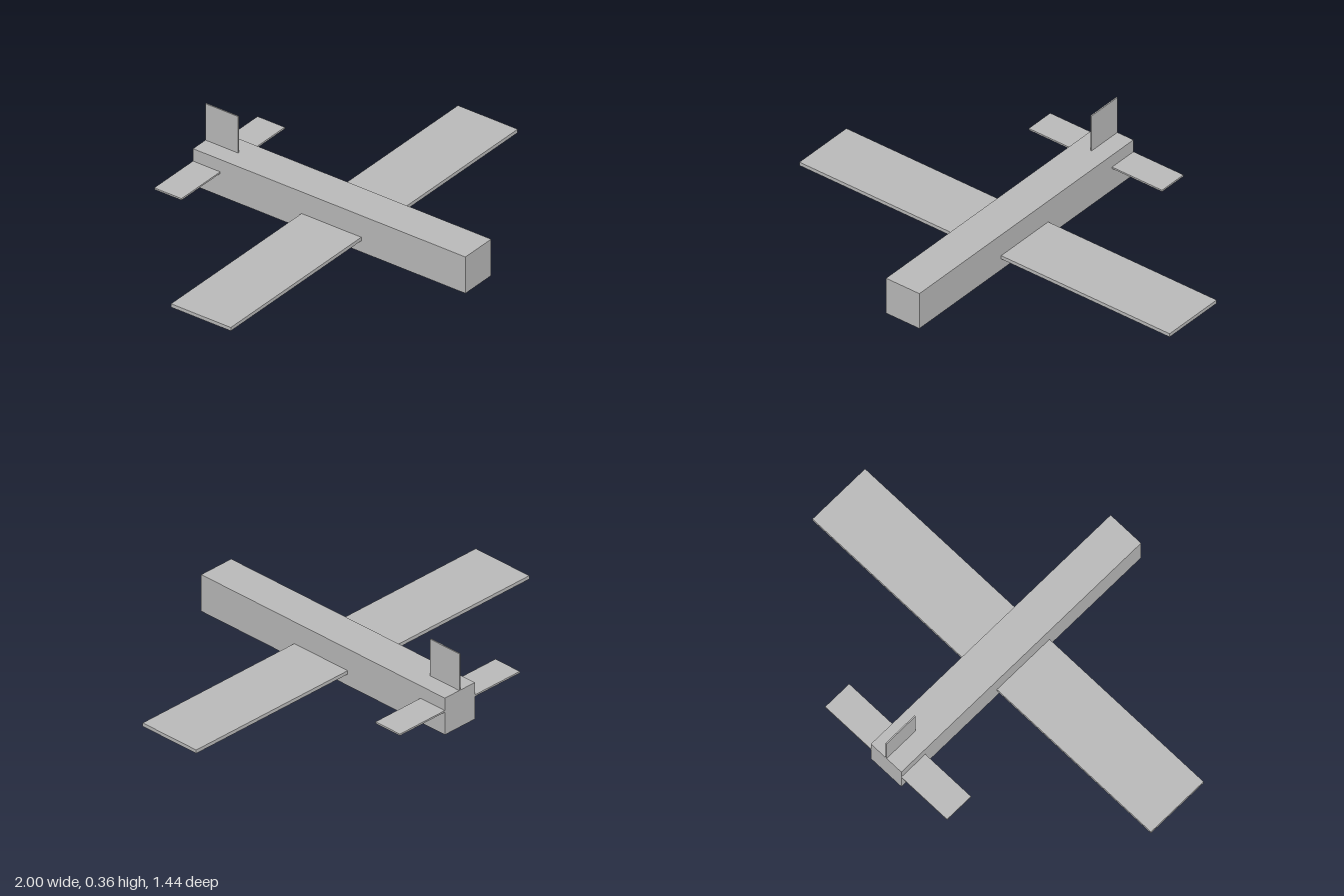
import * as THREE from 'three';

export function createModel() {
  const model = new THREE.Group();
  model.name = 'airplane';

  const grey = new THREE.MeshStandardMaterial({ color: 0xb8b8b8 });
  grey.name = 'plain grey';

  // Box given by its extents along each axis
  function addPart(name, [x0, x1], [y0, y1], [z0, z1]) {
    const mesh = new THREE.Mesh(new THREE.BoxGeometry(x1 - x0, y1 - y0, z1 - z0), grey);
    mesh.position.set((x0 + x1) / 2, (y0 + y1) / 2, (z0 + z1) / 2);
    mesh.name = name;
    model.add(mesh);
  }

  // Square body
  addPart('fuselage', [-0.09, 0.09], [0, 0.18], [-0.72, 0.72]);

  // Straight main wing passing through the body
  addPart('wing', [-1, 1], [0.056, 0.073], [-0.146, 0.17]);

  // Tail surfaces flush with the rear end
  addPart('tailplane', [-0.36, 0.36], [0.111, 0.119], [-0.72, -0.576]);
  addPart('fin', [-0.003, 0.003], [0.18, 0.36], [-0.72, -0.547]);

  return model;
}
